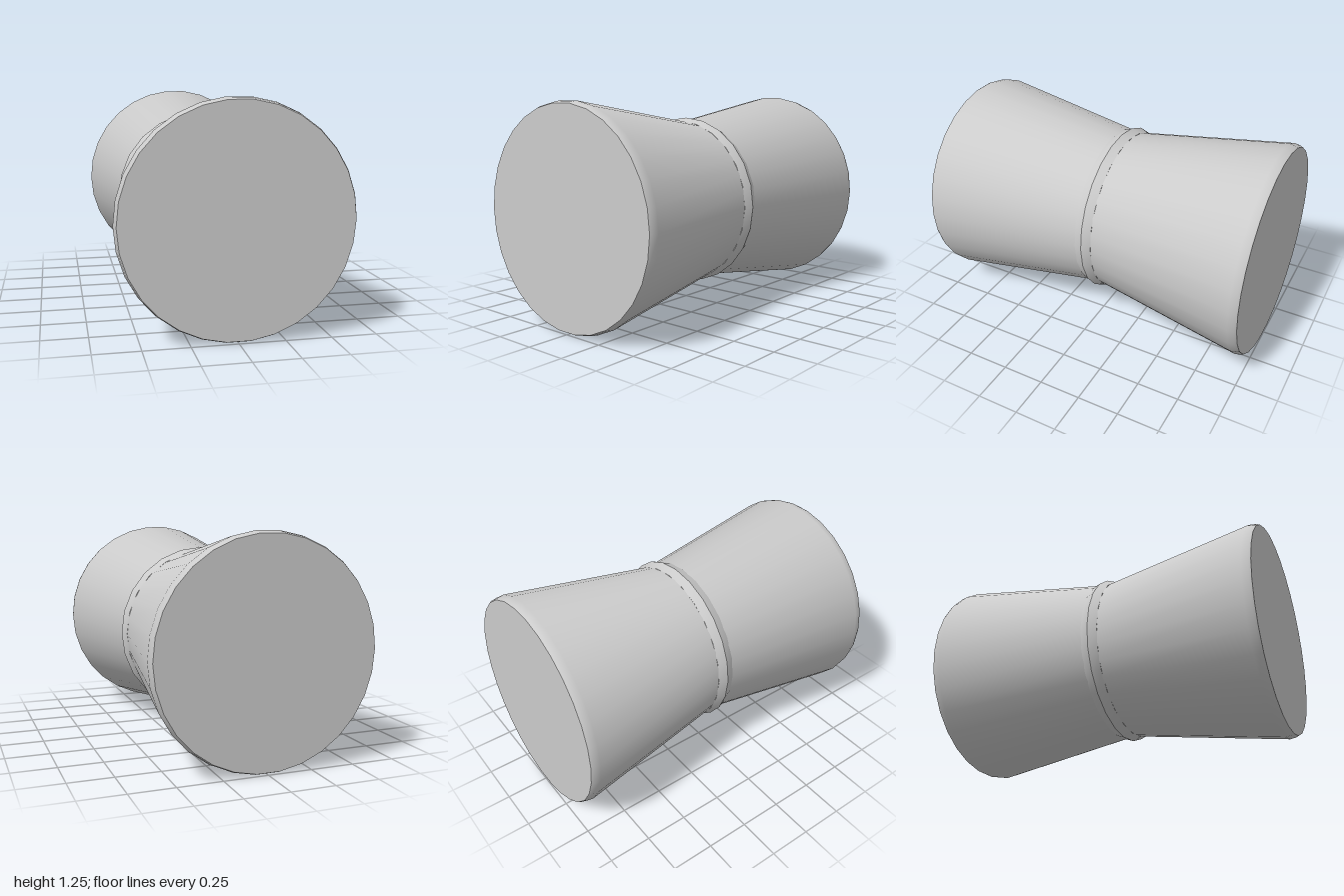
import * as THREE from 'three';
import { toCreasedNormals } from 'three/addons/utils/BufferGeometryUtils.js';

const CENTER_Y = 0.63;
const material = new THREE.MeshStandardMaterial({ color: 0xcccccc });

// Revolves a [radius, z] profile around the z axis
function turned(name, profile, segments) {
  const points = profile.map(([r, z]) => new THREE.Vector2(r, z));
  const lathe = new THREE.LatheGeometry(points, segments, Math.PI / 2);
  lathe.rotateX(Math.PI / 2);
  const mesh = new THREE.Mesh(toCreasedNormals(lathe, Math.PI / 6), material);
  mesh.name = name;
  mesh.position.y = CENTER_Y;
  return mesh;
}

export function createModel() {
  const group = new THREE.Group();
  group.name = 'hourglassSpool';

  // Two flared cups meeting at a narrow waist, with softened rims
  const half = [[0, 1], [0.617, 1], [0.624, 0.985], [0.63, 0.95]];
  const back = half.map(([r, z]) => [r, -z]);
  group.add(turned('body', [...back, [0.482, 0], ...half.slice().reverse()], 30));

  // Ridged collar around the waist
  const collar = [[0.47, -0.052], [0.492, -0.052], [0.512, 0], [0.492, 0.052], [0.47, 0.052]];
  group.add(turned('waistCollar', collar, 24));

  return group;
}
